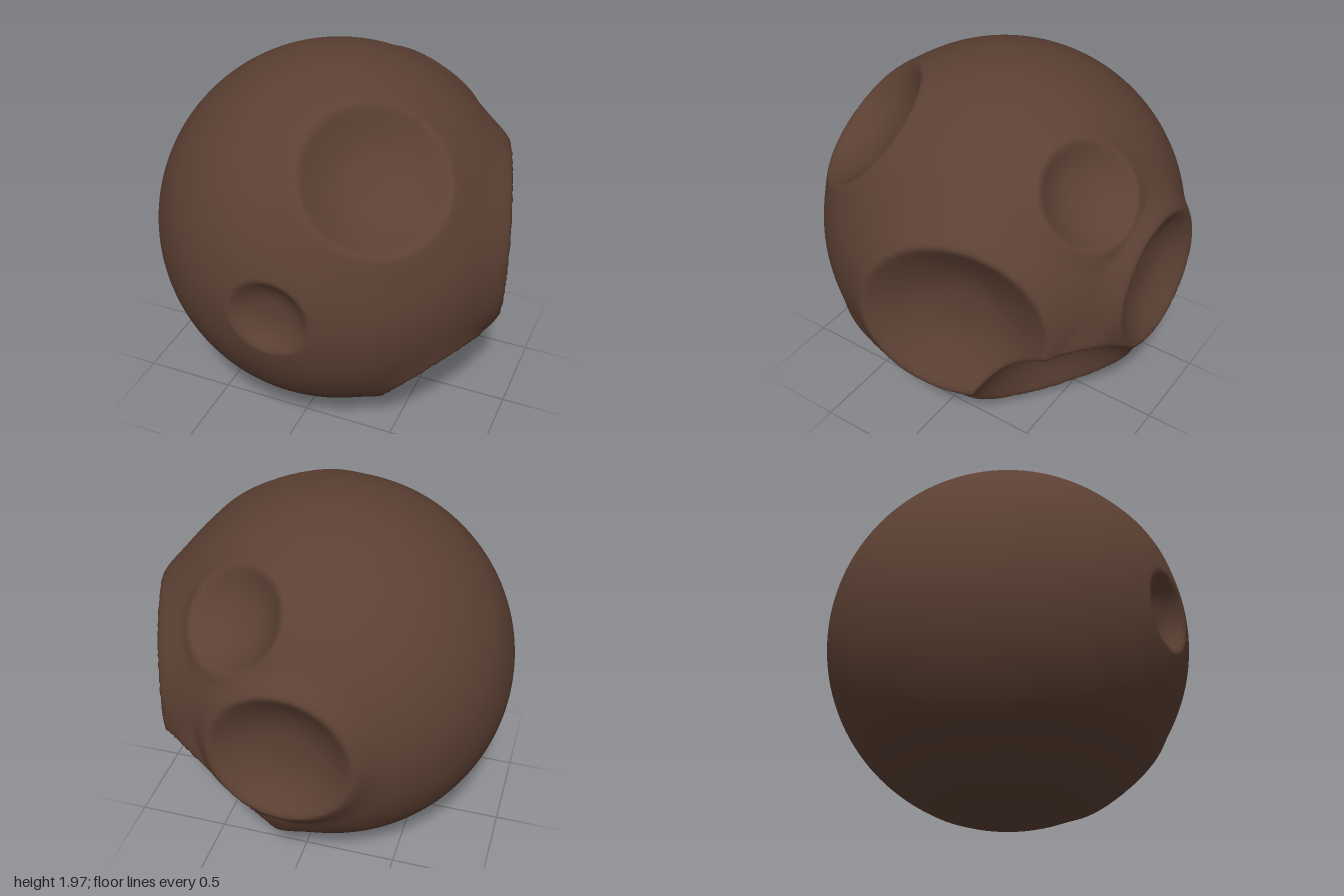
import * as THREE from 'three';
import { mergeVertices } from 'three/addons/utils/BufferGeometryUtils.js';

const R = 0.984;

// Craters: direction from the ball's centre, rim radius, lip height
const craters = [
  [0.40, 0.61, 0.52, 0.37, 0.012],   // upper front
  [0.03, -0.01, 1.0, 0.21, 0.0],     // small front
  [0.95, -0.02, -0.31, 0.46, 0.035], // large side
  [0.67, -0.62, 0.3, 0.305, 0.015],  // lower front
  [0.51, -0.54, -0.68, 0.415, 0.025], // lower back
  [0.0, 0.01, -1.0, 0.35, 0.042],    // back
  [0.31, 0.64, -0.73, 0.26, 0.015],  // upper back
].map(([x, y, z, r, lift]) => ({ dir: new THREE.Vector3(x, y, z).normalize(), r, lift }));

// Distance from centre to surface along a direction
function surfaceRadius(d) {
  let ground = R, bowl = Infinity;
  for (const { dir, r, lift } of craters) {
    const cos = d.dot(dir);
    if (cos < 0.3) continue;
    const t = R * Math.sqrt(Math.max(0, 1 - cos * cos)) / r;
    // raised lip fading out beyond the rim
    const fade = t < 1 ? 1 : Math.exp(-(((t - 1) / 0.25) ** 2));
    ground = Math.max(ground, R + lift * fade);
    // rounded bowl below the rim plane
    if (t < 1.3) {
      const rimPlane = (R + lift) * Math.sqrt(1 - (r / R) ** 2);
      bowl = Math.min(bowl, (rimPlane - 0.35 * r * (1 - t ** 3.2)) / cos);
    }
  }
  return Math.min(ground, bowl);
}

export function createModel() {
  const group = new THREE.Group();
  group.name = 'crateredBall';

  const rock = new THREE.MeshStandardMaterial({ color: 0x5c4033 });
  rock.name = 'brownRock';

  let geo = new THREE.IcosahedronGeometry(1, 56);
  geo.deleteAttribute('uv');
  geo.deleteAttribute('normal');
  geo = mergeVertices(geo, 1e-4);
  const pos = geo.attributes.position;
  const v = new THREE.Vector3();
  for (let i = 0; i < pos.count; i++) {
    v.fromBufferAttribute(pos, i).normalize();
    v.multiplyScalar(surfaceRadius(v));
    pos.setXYZ(i, v.x, v.y, v.z);
  }
  geo.computeVertexNormals();

  const body = new THREE.Mesh(geo, rock);
  body.name = 'asteroidBody';
  body.position.set(-0.012, R, 0);
  group.add(body);
  return group;
}
